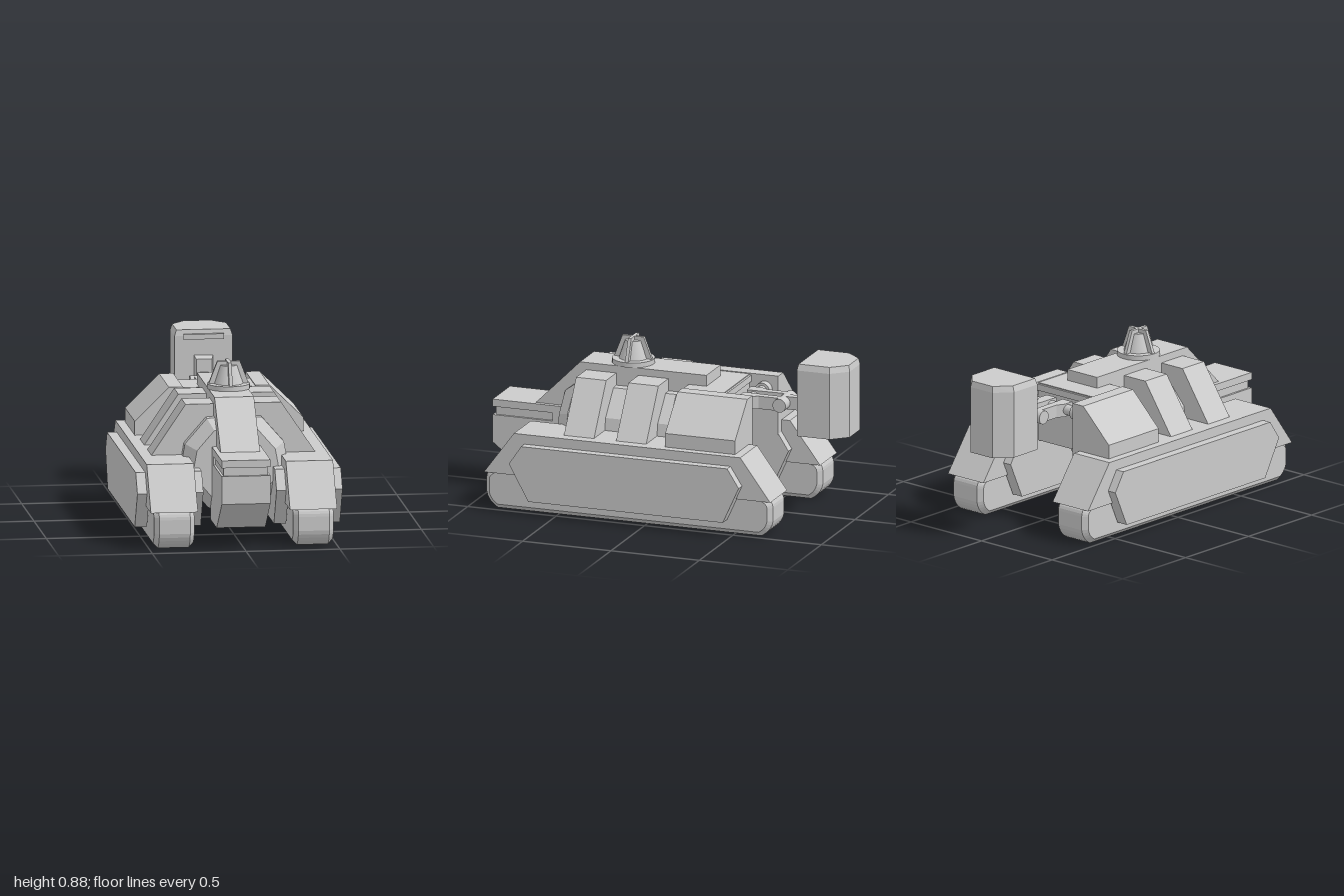
import * as THREE from 'three';

const mat = new THREE.MeshStandardMaterial({ color: 0xcccccc, flatShading: true });
const smooth = new THREE.MeshStandardMaterial({ color: 0xcccccc });

const toShape = (pts) => new THREE.Shape(pts.map(([a, b]) => new THREE.Vector2(a, b)));

function add(parent, name, geometry, material = mat) {
  const mesh = new THREE.Mesh(geometry, material);
  mesh.name = name;
  parent.add(mesh);
  return mesh;
}

// box given by its limits
function box(parent, name, x0, x1, y0, y1, z0, z1) {
  const g = new THREE.BoxGeometry(x1 - x0, y1 - y0, z1 - z0);
  return add(parent, name, g.translate((x0 + x1) / 2, (y0 + y1) / 2, (z0 + z1) / 2));
}

// side profile of (z, y) points, extruded across x
function sidePrism(parent, name, shape, x0, x1, bevel = 0) {
  const g = new THREE.ExtrudeGeometry(shape, {
    depth: x1 - x0 - 2 * bevel, bevelEnabled: bevel > 0, bevelSize: bevel,
    bevelThickness: bevel, bevelOffset: -bevel, bevelSegments: 1, curveSegments: 5,
  });
  g.rotateY(-Math.PI / 2).translate(x1 - bevel, 0, 0);
  return add(parent, name, g);
}

// front profile of (x, y) points, extruded along z
function frontPrism(parent, name, pts, z0, z1) {
  const g = new THREE.ExtrudeGeometry(toShape(pts), { depth: z1 - z0, bevelEnabled: false });
  return add(parent, name, g.translate(0, 0, z0));
}

// cylinder lying along x
function pin(parent, name, r, x0, x1, y, z) {
  const g = new THREE.CylinderGeometry(r, r, x1 - x0, 20).rotateZ(Math.PI / 2);
  return add(parent, name, g.translate((x0 + x1) / 2, y, z), smooth);
}

const mirrored = (pts) => [...pts, ...pts.slice().reverse().map(([x, y]) => [-x, y])];

function trackUnit() {
  const g = new THREE.Group();
  // belt with rounded lower corners
  const belt = new THREE.Shape();
  belt.moveTo(0.86, 0.22);
  belt.quadraticCurveTo(0.91, 0.2, 0.91, 0.16);
  belt.lineTo(0.91, 0.085);
  belt.quadraticCurveTo(0.9, 0.03, 0.845, 0);
  belt.lineTo(-0.645, 0);
  belt.quadraticCurveTo(-0.7, 0.03, -0.71, 0.085);
  belt.lineTo(-0.71, 0.16);
  belt.quadraticCurveTo(-0.71, 0.2, -0.66, 0.22);
  sidePrism(g, 'trackBelt', belt, 0.266, 0.481, 0.025);
  sidePrism(g, 'fender', toShape([[0.91, 0.2], [0.74, 0.43], [-0.54, 0.43], [-0.71, 0.2]]), 0.246, 0.497);
  const hex = toShape([[0.75, 0.275], [0.68, 0.377], [-0.485, 0.377], [-0.55, 0.275], [-0.46, 0.077], [0.64, 0.077]]);
  sidePrism(g, 'innerSidePlate', hex, 0.195, 0.26);
  sidePrism(g, 'outerSidePlate', hex, 0.48, 0.547);
  return g;
}

// faceted drum with chamfered ends, built as rings along z
function drumGeometry() {
  const half = [[0, 0.64], [0.147, 0.63], [0.264, 0.496], [0.286, 0.375], [0.25, 0.28], [0.14, 0.15], [0, 0.12]];
  const ring = [...half, ...half.slice(1, -1).reverse().map(([x, y]) => [-x, y])];
  const sections = [[0.595, 0], [0.595, 0.79], [0.525, 1], [-0.045, 1], [-0.105, 0.79], [-0.105, 0]];
  const n = ring.length, pos = [], idx = [];
  for (const [z, s] of sections)
    for (const [x, y] of ring) pos.push(x * s, 0.375 + (y - 0.375) * s, z);
  for (let i = 0; i < sections.length - 1; i++)
    for (let j = 0; j < n; j++) {
      const a = i * n + j, b = i * n + (j + 1) % n;
      idx.push(a, b, a + n, b, b + n, a + n);
    }
  const g = new THREE.BufferGeometry();
  g.setAttribute('position', new THREE.Float32BufferAttribute(pos, 3));
  g.setIndex(idx);
  const flat = g.toNonIndexed();
  flat.computeVertexNormals();
  return flat;
}

function beacon() {
  const g = new THREE.Group();
  add(g, 'beaconBase', new THREE.CylinderGeometry(0.114, 0.114, 0.026, 32).translate(0, 0.013, 0), smooth);
  add(g, 'beaconCore', new THREE.CylinderGeometry(0.044, 0.078, 0.1, 32).translate(0, 0.074, 0), smooth);
  const fin = toShape(mirrored([[0.107, 0.024], [0.06, 0.145]]));
  for (const turn of [0, Math.PI / 2]) {
    const f = new THREE.ExtrudeGeometry(fin, { depth: 0.018, bevelEnabled: false });
    add(g, 'beaconFin', f.translate(0, 0, -0.009).rotateY(turn));
  }
  return g;
}

function rearArm() {
  const g = new THREE.Group(), y = 0.61;
  pin(g, 'armAxle', 0.028, -0.2, 0.2, y, -0.42);
  pin(g, 'elbowPin', 0.037, -0.09, 0.09, y, -0.605);
  // arm link in plan, broad at the axle
  const link = [[0.022, 0.38], [0.09, 0.38], [0.09, 0.44], [0.068, 0.48], [0.068, 0.605], [0.028, 0.605]];
  for (const s of [-1, 1]) {
    pin(g, 'axleCollar', 0.042, s * 0.165 - 0.022, s * 0.165 + 0.022, y, -0.42);
    const plan = toShape(link.map(([x, z]) => [s * x, z]));
    const arm = new THREE.ExtrudeGeometry(plan, { depth: 0.07, bevelEnabled: false });
    add(g, 'armLink', arm.rotateX(-Math.PI / 2).translate(0, y - 0.035, 0));
  }
  box(g, 'wristLink', -0.022, 0.022, y - 0.035, y + 0.035, -0.72, -0.6);
  // mounting plate, narrower at its outer face
  const plate = new THREE.CylinderGeometry(0.042 * Math.SQRT2, 0.053 * Math.SQRT2, 0.035, 4, 1);
  plate.rotateY(Math.PI / 4).scale(1, 1, 2.15).rotateX(Math.PI / 2).translate(0, 0.625, -0.722);
  add(g, 'mountPlate', plate);
  return g;
}

function rearPod() {
  const g = new THREE.Group();
  const plan = [[0.155, 0.73], [0.155, 0.915], [0.078, 1], [-0.078, 1], [-0.155, 0.915], [-0.155, 0.73]];
  const body = new THREE.ExtrudeGeometry(toShape(plan), { depth: 0.362, bevelEnabled: false });
  body.rotateX(-Math.PI / 2).translate(0, 0.475, 0);
  add(g, 'podBody', body);
  // lid tapers inward at the top
  const lid = new THREE.ExtrudeGeometry(toShape(plan), { depth: 0.033, bevelEnabled: false });
  lid.rotateX(-Math.PI / 2).translate(0, 0.837, 0);
  const p = lid.attributes.position;
  for (let i = 0; i < p.count; i++)
    if (p.getY(i) > 0.85) p.setXYZ(i, p.getX(i) * 0.93, p.getY(i), -0.86 + (p.getZ(i) + 0.86) * 0.95);
  lid.computeVertexNormals();
  add(g, 'podLid', lid);
  box(g, 'podLatch', -0.108, 0.108, 0.82, 0.848, -0.76, -0.715);
  return g;
}

export function createModel() {
  const model = new THREE.Group();
  model.name = 'trackedVehicle';

  // running gear
  for (const [side, dx] of [['left', 0], ['right', -0.742]]) {
    const unit = trackUnit();
    unit.name = side + 'Track';
    unit.position.x = dx;
    model.add(unit);
  }

  // central hull
  add(model, 'drumHull', drumGeometry());
  sidePrism(model, 'nose', toShape([[1, 0.405], [1, 0.255], [0.79, 0.09], [0.55, 0.09], [0.55, 0.405]]), -0.13, 0.13);
  box(model, 'noseSlot', -0.118, 0.118, 0.4, 0.455, 0.5, 0.985);
  box(model, 'noseSlotBack', -0.13, 0.13, 0.4, 0.455, 0.5, 0.66);
  box(model, 'noseCap', -0.13, 0.13, 0.45, 0.49, 0.5, 1);
  sidePrism(model, 'spine', toShape([[0.77, 0.485], [0.515, 0.74], [-0.2, 0.74], [-0.2, 0.6], [0.4, 0.485]]), -0.105, 0.105);

  // armour straps over the drum
  const strap = mirrored([[0.44, 0.425], [0.255, 0.7]]);
  for (const z of [0.015, 0.31]) frontPrism(model, 'armourStrap', strap, z, z + 0.17);

  // rear hull with a notch for the arm
  box(model, 'rearHull', -0.2, 0.2, 0.36, 0.68, -0.33, -0.1);
  for (const s of [-1, 1]) {
    const pts = [[0.193, 0.36], [0.25, 0.36], [0.25, 0.425], [0.45, 0.425], [0.45, 0.505], [0.268, 0.684], [0.193, 0.684]];
    frontPrism(model, 'rearShoulder', pts.map(([x, y]) => [s * x, y]), -0.493, -0.098);
  }
  box(model, 'notchSill', -0.19, 0.19, 0.64, 0.675, -0.342, -0.32);

  // roof beacon
  const top = beacon();
  top.name = 'beacon';
  top.position.set(0.004, 0.74, 0.25);
  model.add(top);

  // articulated arm and the pod it carries
  const arm = rearArm();
  arm.name = 'rearArm';
  const pod = rearPod();
  pod.name = 'rearPod';
  model.add(arm, pod);

  return model;
}
